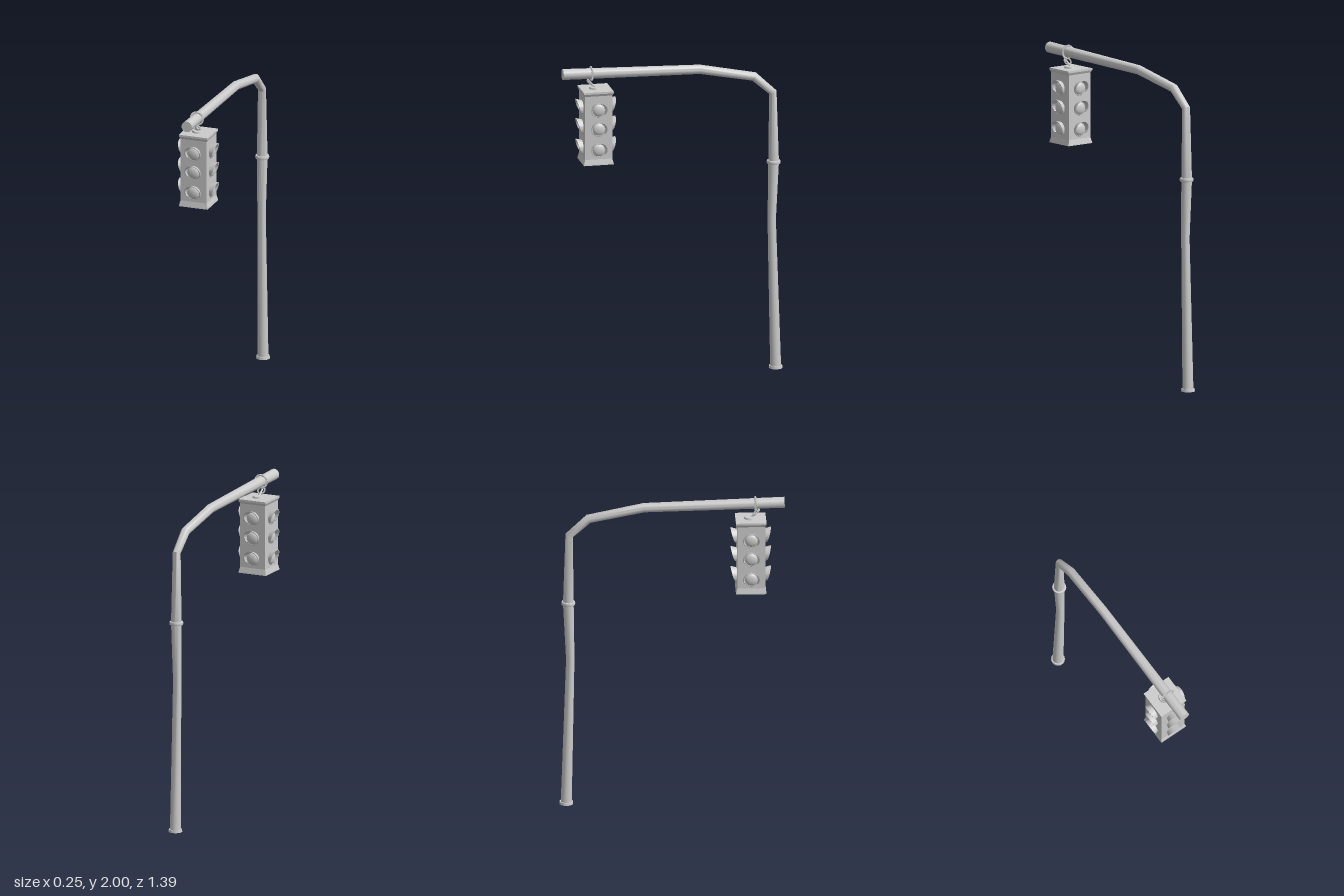
import * as THREE from 'three';
import { toCreasedNormals } from 'three/addons/utils/BufferGeometryUtils.js';

const V = (x, y, z) => new THREE.Vector3(x, y, z);
const grey = new THREE.MeshStandardMaterial({ color: 0xcccccc });

function part(name, geometry, parent, x = 0, y = 0, z = 0) {
  const mesh = new THREE.Mesh(geometry, grey);
  mesh.name = name;
  mesh.position.set(x, y, z);
  parent.add(mesh);
  return mesh;
}

// Skin a row of equal point loops and close both ends
function loft(rings, crease) {
  const n = rings[0].length, last = rings.length - 1, index = [];
  for (let i = 0; i < last; i++) {
    for (let j = 0; j < n; j++) {
      const a = i * n + j, b = i * n + (j + 1) % n;
      index.push(a, b, b + n, a, b + n, a + n);
    }
  }
  for (let j = 1; j < n - 1; j++) {
    index.push(0, j + 1, j, last * n, last * n + j, last * n + j + 1);
  }
  const geo = new THREE.BufferGeometry().setFromPoints(rings.flat());
  geo.setIndex(index);
  return toCreasedNormals(geo, crease);
}

// Bent pole with mitred corners: rows of [z, y, radius]
function poleGeometry() {
  const rows = [
    [-0.648, 0, 0.034], [-0.623, 0.95, 0.026], [-0.635, 1.32, 0.033],
    [-0.630, 1.765, 0.025], [-0.511, 1.873, 0.028],
    [-0.170, 1.941, 0.029], [0.695, 1.963, 0.034],
  ];
  const pts = rows.map(([z, y]) => V(0, y, z));
  const u = V(1, 0, 0);
  const rings = rows.map(([, , r], i) => {
    const d = V(0, 0, 0);
    if (i > 0) d.add(pts[i].clone().sub(pts[i - 1]).normalize());
    if (i < rows.length - 1) d.add(pts[i + 1].clone().sub(pts[i]).normalize());
    if (i === 0) d.set(0, 1, 0);
    const v = d.normalize().clone().cross(u);
    return Array.from({ length: 20 }, (_, k) => {
      const a = k / 20 * Math.PI * 2;
      return pts[i].clone().addScaledVector(u, r * Math.cos(a)).addScaledVector(v, r * Math.sin(a));
    });
  });
  return loft(rings, 0.7);
}

// Flared hood, longest at the top and cut back towards its lower ends
function visorGeometry() {
  const rings = [], steps = 24, t = 0.005;
  for (let i = 0; i <= steps; i++) {
    const a = THREE.MathUtils.degToRad(-35 + 250 * i / steps);
    const k = Math.max(0, (Math.sin(a) + 0.57) / 1.57);
    const len = 0.01 + 0.028 * Math.pow(k, 0.8);
    const r0 = 0.045, r1 = r0 + 0.011 * len / 0.038;
    const p = (r, z) => V(r * Math.cos(a), r * Math.sin(a), z);
    rings.push([p(r0 - t, -0.002), p(r1 - t, len), p(r1, len), p(r0, -0.002)]);
  }
  return loft(rings, 0.6);
}

// Two twisted strands wound round a circle
function ropeRing(name, radius, strand, turns, parent) {
  const group = new THREE.Group();
  group.name = name;
  for (let s = 0; s < 2; s++) {
    const pts = Array.from({ length: 96 }, (_, i) => {
      const a = i / 96 * Math.PI * 2, w = a * turns + s * Math.PI;
      const r = radius + strand * Math.cos(w);
      return V(r * Math.cos(a), r * Math.sin(a), strand * Math.sin(w));
    });
    part('ropeStrand', new THREE.TubeGeometry(new THREE.CatmullRomCurve3(pts, true), 120, strand, 6, true), group);
  }
  parent.add(group);
  return group;
}

export function createModel() {
  const model = new THREE.Group();
  model.name = 'streetSignal';

  // Pole, foot and collar
  part('pole', poleGeometry(), model);
  part('footFlange', new THREE.CylinderGeometry(0.041, 0.043, 0.016, 20), model, 0, 0.008, -0.648);
  const collar = [[0.028, 1.308], [0.041, 1.31], [0.044, 1.32], [0.041, 1.33], [0.028, 1.332]];
  const collarGeo = new THREE.LatheGeometry(collar.map(([r, y]) => new THREE.Vector2(r, y)), 20);
  part('collar', toCreasedNormals(collarGeo, 0.8), model, 0, 0, -0.635);

  // Hanging signal head
  const head = new THREE.Group();
  head.name = 'signalHead';
  head.position.z = 0.487;
  model.add(head);

  // Square housing with flared bottom and lid
  const profile = [
    [0, 1.395], [0.094, 1.395], [0.093, 1.402], [0.086, 1.432],
    [0.086, 1.835], [0.094, 1.85], [0.094, 1.862], [0, 1.862],
  ].map(([h, y]) => new THREE.Vector2(h * Math.SQRT2, y));
  const housing = new THREE.LatheGeometry(profile, 4).rotateY(Math.PI / 4).toNonIndexed();
  housing.computeVertexNormals();
  part('housing', housing, head);

  // Three lamps with hoods on each of the four faces
  const visor = visorGeometry();
  const lens = new THREE.SphereGeometry(0.039, 24, 10, 0, Math.PI * 2, 0, Math.PI / 2)
    .rotateX(Math.PI / 2).scale(1, 1, 0.45);
  const bezel = new THREE.TorusGeometry(0.041, 0.004, 6, 24);
  for (let f = 0; f < 4; f++) {
    const face = new THREE.Group();
    face.name = 'lampFace';
    face.rotation.y = f * Math.PI / 2;
    head.add(face);
    for (const y of [1.745, 1.622, 1.49]) {
      part('lens', lens, face, 0, y, 0.086);
      part('bezel', bezel, face, 0, y, 0.086);
      part('visor', visor, face, 0, y, 0.086);
    }
  }

  // Lid disc, hook and rope that hang the head from the arm
  part('lidDisc', new THREE.CylinderGeometry(0.037, 0.041, 0.012, 20), head, 0, 1.867, 0);
  const sling = ropeRing('armRope', 0.04, 0.0035, 16, model);
  sling.position.set(0, 1.957, 0.515);
  const link = ropeRing('hangingLoop', 0.023, 0.003, 10, model);
  link.position.set(0, 1.899, 0.518);
  link.rotation.x = 0.7;
  const hook = new THREE.CatmullRomCurve3([
    V(0, 1.93, 0.525), V(0, 1.915, 0.539), V(0, 1.895, 0.522), V(0, 1.882, 0.502), V(0, 1.868, 0.487),
  ]);
  part('hook', new THREE.TubeGeometry(hook, 20, 0.006, 8), model);
  return model;
}
